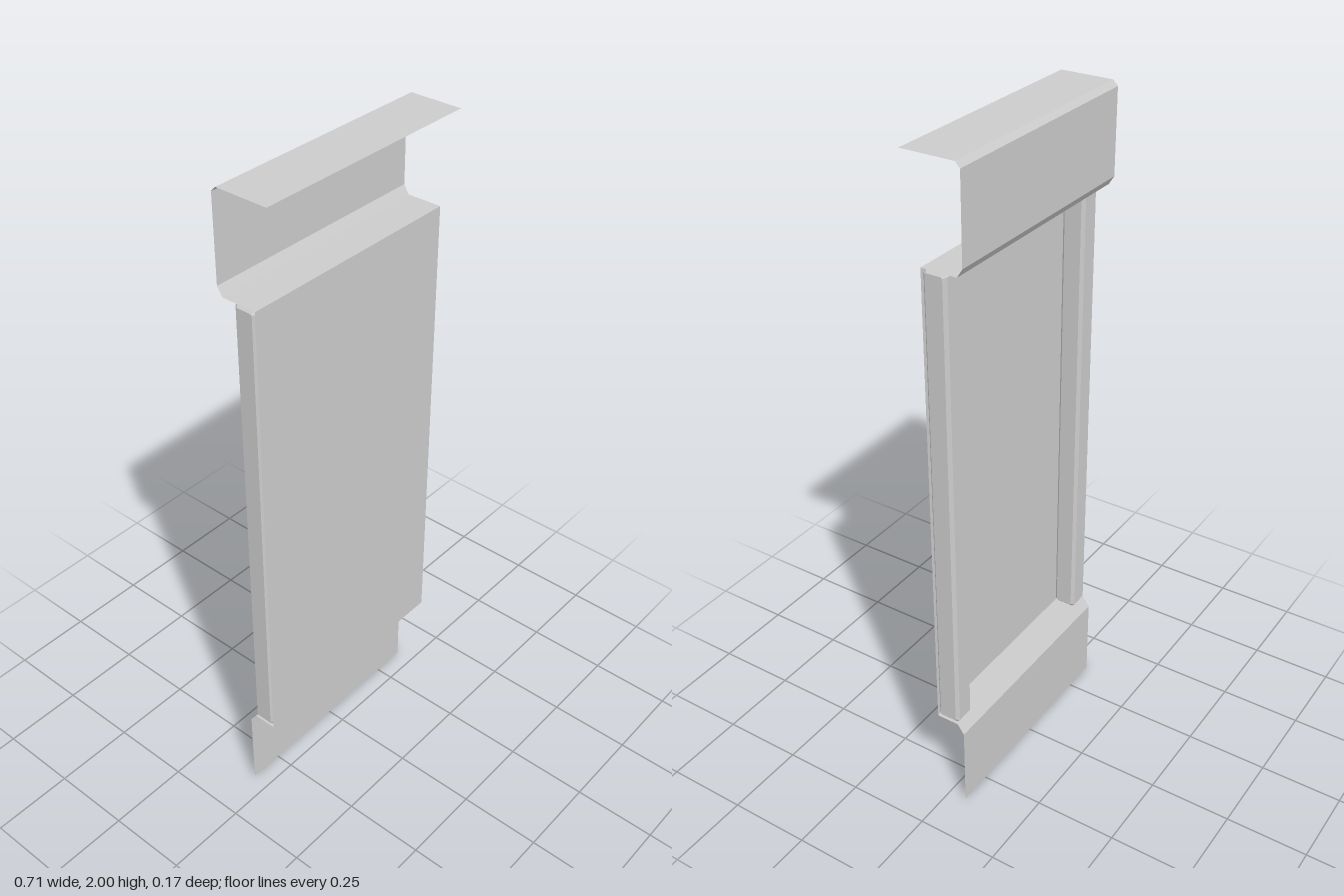
import * as THREE from 'three';

const HALF = 0.356; // half width of the panel
const material = new THREE.MeshStandardMaterial({ color: 0xcccccc, flatShading: true, side: THREE.DoubleSide });

// Thin sheet folded along a (z, y) profile and spanning the full width
function foldedSheet(profile) {
  const pos = [];
  for (let i = 0; i < profile.length - 1; i++) {
    const [z0, y0] = profile[i], [z1, y1] = profile[i + 1];
    const a = [-HALF, y0, z0], b = [-HALF, y1, z1], c = [HALF, y1, z1], d = [HALF, y0, z0];
    pos.push(...a, ...b, ...c, ...a, ...c, ...d);
  }
  const g = new THREE.BufferGeometry();
  g.setAttribute('position', new THREE.Float32BufferAttribute(pos, 3));
  g.computeVertexNormals();
  return g;
}

// Box with every edge chamfered, centred on the origin
function chamferedBox(w, h, d, c) {
  const x = d / 2 - c, y = h / 2 - c;
  const shape = new THREE.Shape([
    new THREE.Vector2(-x, -y), new THREE.Vector2(x, -y),
    new THREE.Vector2(x, y), new THREE.Vector2(-x, y),
  ].flatMap((p, i) => {
    // cut each corner of the side outline
    const sx = Math.sign(p.x), sy = Math.sign(p.y);
    const onSide = new THREE.Vector2(p.x, p.y - sy * c * 0.4);
    const onEnd = new THREE.Vector2(p.x - sx * c * 0.4, p.y);
    return i % 2 ? [onEnd, onSide] : [onSide, onEnd];
  }));
  const g = new THREE.ExtrudeGeometry(shape, {
    depth: w - 2 * c, bevelEnabled: true, bevelThickness: c, bevelSize: c, bevelSegments: 1,
  });
  g.translate(0, 0, -(w / 2 - c));
  g.rotateY(Math.PI / 2);
  return g;
}

export function createModel() {
  const group = new THREE.Group();
  group.name = 'foldedPanel';

  // One sheet: top flange, upper plate, front face and lower plate
  const sheet = new THREE.Mesh(foldedSheet([
    [0.085, 2], [-0.073, 2], [-0.087, 1.985], [-0.087, 1.74], [-0.071, 1.715],
    [0.035, 1.715], [0.035, 0.29], [-0.035, 0.29], [-0.056, 0.26], [-0.056, 0],
  ]), material);
  sheet.name = 'foldedSheet';
  group.add(sheet);

  // Chamfered stiles behind the front face
  const stile = chamferedBox(0.07, 1.421, 0.07, 0.009);
  for (const side of [-1, 1]) {
    const mesh = new THREE.Mesh(stile, material);
    mesh.name = side > 0 ? 'leftStile' : 'rightStile';
    mesh.position.set(side * (HALF - 0.035), 1.0025, -0.002);
    group.add(mesh);
  }
  return group;
}
